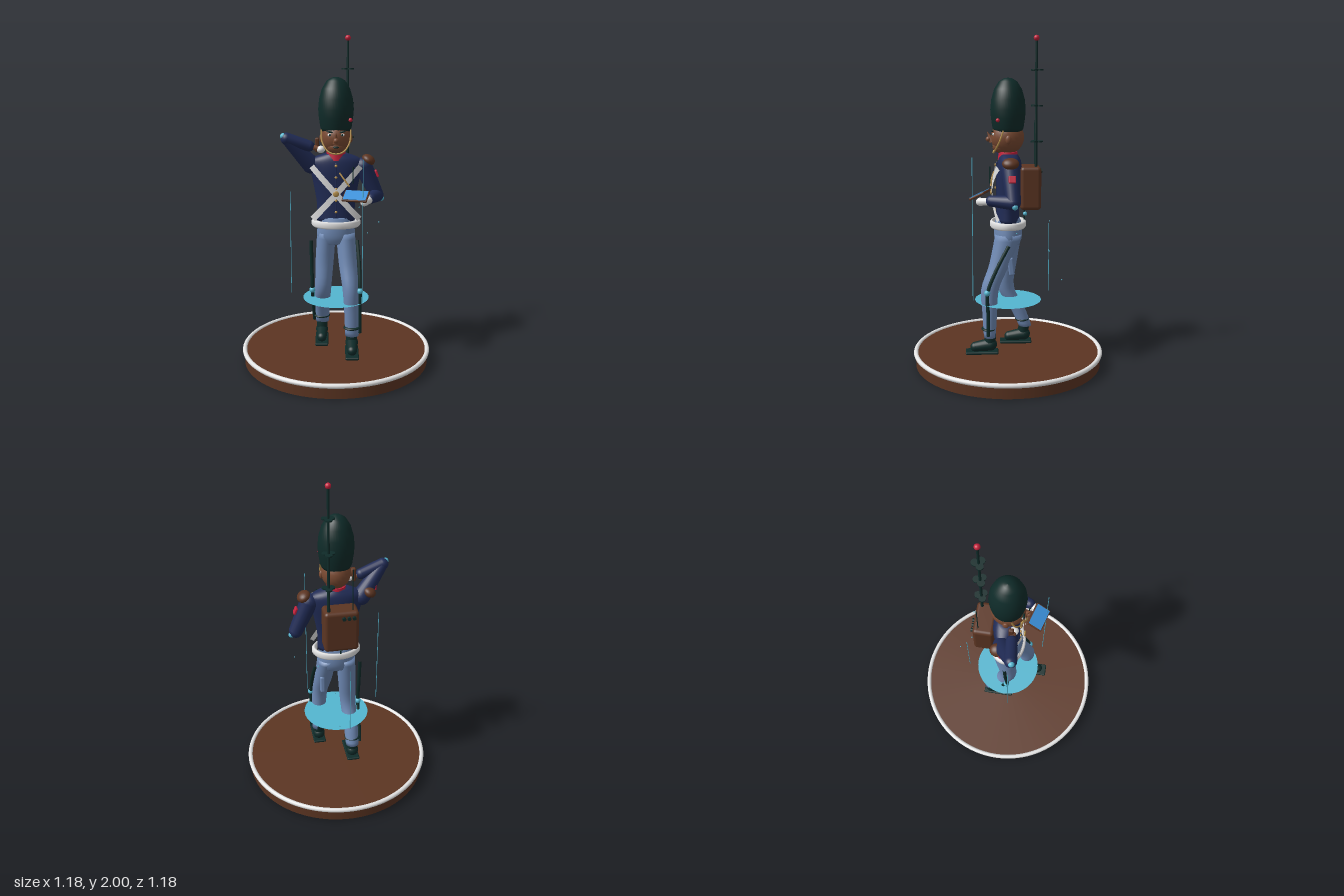
import * as THREE from 'three';
import { mergeGeometries } from 'three/addons/utils/BufferGeometryUtils.js';
import { RoundedBoxGeometry } from 'three/addons/geometries/RoundedBoxGeometry.js';
import { ParametricGeometry } from 'three/addons/geometries/ParametricGeometry.js';

const mat = (name, color, side = THREE.FrontSide) => {
  const m = new THREE.MeshStandardMaterial({ color, side });
  m.name = name;
  return m;
};
const V = (x, y, z) => new THREE.Vector3(x, y, z);

export function createModel() {
  const navy = mat('navy cloth', 0x202b55);
  const green = mat('dark green', 0x0f2b29);
  const brown = mat('brown leather', 0x5c3522);
  const skin = mat('skin', 0x7a4a32);
  const blue = mat('trouser blue', 0x6f8ab5);
  const white = mat('white', 0xe4e4e4, THREE.DoubleSide);
  const red = mat('red', 0xc4213c);
  const cyan = mat('cyan', 0x54b6d0, THREE.DoubleSide);
  const screen = mat('screen blue', 0x3c92dc);
  const gold = mat('gold', 0xb8924e);

  const model = new THREE.Group();
  const add = (name, geo, material, x = 0, y = 0, z = 0, parent = model) => {
    const m = new THREE.Mesh(geo, material);
    m.name = name;
    m.position.set(x, y, z);
    parent.add(m);
    return m;
  };
  const ball = (name, material, x, y, z, rx, ry = rx, rz = rx) =>
    add(name, new THREE.SphereGeometry(1, 24, 16).scale(rx, ry, rz), material, x, y, z);
  const cyl = (name, material, x, y0, y1, z, r, r2 = r, n = 16) =>
    add(name, new THREE.CylinderGeometry(r2, r, y1 - y0, n), material, x, (y0 + y1) / 2, z);
  // Tapered limb with round ends between two points
  const limb = (name, material, a, b, ra, rb) => {
    const d = b.clone().sub(a);
    const rod = new THREE.CylinderGeometry(rb, ra, d.length(), 20, 1, true)
      .applyQuaternion(new THREE.Quaternion().setFromUnitVectors(V(0, 1, 0), d.clone().normalize()))
      .translate((a.x + b.x) / 2, (a.y + b.y) / 2, (a.z + b.z) / 2);
    const ends = [[a, ra], [b, rb]].map(([p, r]) => new THREE.SphereGeometry(r, 20, 14).translate(p.x, p.y, p.z));
    return add(name, mergeGeometries([rod, ...ends]), material);
  };
  const tube = (name, material, pts, r, closed = false) =>
    add(name, new THREE.TubeGeometry(new THREE.CatmullRomCurve3(pts.map(p => V(...p)), closed), 32, r, 8, closed), material);
  // Loft through elliptical rings [x, y, z, rx, rz], listed from the bottom up
  const loft = (name, material, rings, n = 28) => {
    const curves = [0, 1, 2, 3, 4].map(k => rings.map(r => r[k]));
    const steps = (rings.length - 1) * 4, pos = [], idx = [];
    const smooth = (a, t) => {
      const i = Math.min(Math.floor(t), a.length - 2), f = t - i;
      const p = a[Math.max(i - 1, 0)], q = a[i], r = a[i + 1], s = a[Math.min(i + 2, a.length - 1)];
      return q + 0.5 * f * (r - p + f * (2 * p - 5 * q + 4 * r - s + f * (3 * (q - r) + s - p)));
    };
    const row = (c, k) => {
      for (let j = 0; j < n; j++) {
        const t = j / n * Math.PI * 2;
        pos.push(c[0] + k * c[3] * Math.cos(t), c[1], c[2] + k * c[4] * Math.sin(t));
      }
    };
    const at = i => curves.map(c => smooth(c, i / 4));
    row(at(0), 0.01);
    for (let i = 0; i <= steps; i++) row(at(i), 1);
    row(at(steps), 0.01);
    for (let i = 0; i < steps + 2; i++) for (let j = 0; j < n; j++) {
      const a = i * n + j, b = i * n + (j + 1) % n;
      idx.push(a, a + n, b, b, a + n, b + n);
    }
    const g = new THREE.BufferGeometry();
    g.setAttribute('position', new THREE.Float32BufferAttribute(pos, 3));
    g.setIndex(idx);
    g.computeVertexNormals();
    return add(name, g, material);
  };

  // Round base, rim and floating disc
  cyl('base', brown, 0, 0, 0.08, 0, 0.575, 0.575, 72);
  add('baseRim', new THREE.TorusGeometry(0.574, 0.014, 12, 80).rotateX(Math.PI / 2), white, 0, 0.077, 0);
  add('floatingDisc', new THREE.CircleGeometry(0.205, 48).rotateX(-Math.PI / 2), cyan, 0, 0.4, 0);
  [[-0.275, 0.04, 1.08], [0.155, 0.215, 1.3], [-0.04, -0.255, 0.87]].forEach(([x, z, top]) =>
    cyl('lightBeam', cyan, x, 0.44, top, z, 0.002, 0.002, 6));
  [[0.04, 0.53, -0.33], [0.205, 0.75, -0.235], [0.265, 0.87, -0.04], [0.15, 0.92, -0.24], [0.05, 0.72, -0.245]]
    .forEach(p => ball('spark', cyan, ...p, 0.004));

  // Legs, boots and stripes: the left one steps forward
  loft('leftLeg', blue, [[0.098, 0.19, 0.115, 0.042, 0.036], [0.096, 0.34, 0.115, 0.046, 0.045],
    [0.088, 0.49, 0.112, 0.049, 0.054], [0.072, 0.64, 0.055, 0.056, 0.062], [0.058, 0.82, 0, 0.058, 0.08]]);
  loft('rightLeg', blue, [[-0.087, 0.2, -0.112, 0.042, 0.04], [-0.085, 0.32, -0.062, 0.046, 0.046],
    [-0.08, 0.46, 0.012, 0.05, 0.052], [-0.07, 0.64, 0.0, 0.056, 0.06], [-0.058, 0.82, -0.01, 0.058, 0.08]]);
  loft('hips', blue, [[0, 0.755, 0, 0.1, 0.07], [0, 0.8, 0, 0.118, 0.085], [0, 0.87, 0, 0.11, 0.085], [0, 0.92, 0, 0.105, 0.07]]);
  tube('leftStripe', green, [[0.13, 0.765, 0], [0.142, 0.62, 0.075], [0.145, 0.48, 0.127], [0.145, 0.34, 0.125], [0.145, 0.21, 0.125]], 0.011);
  tube('rightStripe', green, [[-0.153, 0.765, 0], [-0.15, 0.6, 0.005], [-0.147, 0.45, 0.012], [-0.142, 0.32, -0.06], [-0.137, 0.21, -0.11]], 0.011);
  ball('leftKneeJoint', cyan, 0.145, 0.48, 0.13, 0.019);
  ball('rightKneeJoint', cyan, -0.147, 0.45, 0.012, 0.019);
  const pouch = add('thighPouch', new RoundedBoxGeometry(0.03, 0.11, 0.035, 3, 0.01), blue, 0.09, 0.63, -0.015);
  pouch.rotation.x = 0.12;
  for (const [s, x, z] of [['left', 0.097, 0], ['right', -0.09, -0.215]]) {
    limb(s + 'Ankle', green, V(x, 0.21, z + 0.11), V(x, 0.15, z + 0.115), 0.034, 0.034);
    limb(s + 'Boot', green, V(x, 0.142, z + 0.11), V(x, 0.127, z + 0.205), 0.039, 0.03);
    add(s + 'Sole', new RoundedBoxGeometry(0.082, 0.016, 0.2, 2, 0.007), green, x, 0.096, z + 0.163);
    ball(s + 'BootCuff', green, x, 0.243, z + 0.122, 0.052, 0.013, 0.045);
  }

  // Jacket, collar and belts
  loft('jacket', navy, [[0, 0.895, 0, 0.115, 0.07], [0, 1.0, 0, 0.116, 0.066], [0, 1.12, -0.005, 0.136, 0.073],
    [0, 1.21, -0.008, 0.155, 0.076], [0, 1.27, -0.008, 0.15, 0.068], [0, 1.305, -0.005, 0.07, 0.05]], 36);
  add('jacketPlacket', new RoundedBoxGeometry(0.014, 0.33, 0.01, 2, 0.004), navy, 0, 1.09, 0.068);
  for (let i = 0; i < 5; i++) ball('button', gold, 0, 0.96 + i * 0.07, 0.077, 0.008, 0.008, 0.006);
  cyl('neck', skin, 0, 1.25, 1.36, 0, 0.045);
  cyl('collar', red, 0, 1.268, 1.318, 0, 0.062, 0.056, 28);
  for (const s of [1, -1]) {
    const g = new ParametricGeometry((u, v, p) => {
      const w = (v - 0.5) * 0.036;
      const x = s * (0.145 - 0.285 * u + w * 0.74);
      const y = 1.235 - 0.32 * u - w * 0.66;
      p.set(x, y, (s > 0 ? 0.1 : 0.094) * Math.sqrt(Math.max(0, 1 - (x / 0.19) ** 2)));
    }, 24, 2);
    add('crossBelt', g, white);
  }
  ball('crossBeltBadge', gold, 0, 1.075, 0.103, 0.018, 0.018, 0.006);
  tube('lanyard', gold, [[0.02, 1.2, 0.085], [0.05, 1.16, 0.1], [0.08, 1.12, 0.105]], 0.005);
  const waist = new THREE.LatheGeometry([[0.127, 0.86], [0.14, 0.858], [0.149, 0.868], [0.149, 0.892], [0.14, 0.902], [0.127, 0.9], [0.127, 0.86]]
    .map(p => new THREE.Vector2(...p)), 48).scale(1, 1, 0.74);
  add('waistBelt', waist, white);

  // Head and face
  ball('head', skin, 0, 1.405, 0.003, 0.088, 0.1, 0.1);
  ball('jaw', skin, 0, 1.352, 0.035, 0.056, 0.044, 0.06);
  const nose = add('nose', new THREE.ConeGeometry(0.02, 0.07, 16), skin, 0, 1.41, 0.11);
  nose.rotation.x = 0.5;
  ball('noseTip', skin, 0, 1.394, 0.118, 0.016);
  ball('mouth', green, 0, 1.352, 0.093, 0.017, 0.006, 0.006);
  for (const s of [1, -1]) {
    ball('eye', white, s * 0.036, 1.425, 0.088, 0.014, 0.009, 0.008);
    ball('pupil', green, s * 0.036, 1.425, 0.095, 0.006, 0.007, 0.004);
    const brow = ball('eyebrow', green, s * 0.037, 1.443, 0.093, 0.019, 0.005, 0.006);
    brow.rotation.z = s * 0.15;
    ball('ear', skin, s * 0.088, 1.395, 0, 0.012, 0.026, 0.018);
  }
  tube('chinStrap', gold, [[-0.087, 1.45, 0.03], [-0.082, 1.38, 0.055], [-0.045, 1.325, 0.082], [0, 1.312, 0.088],
    [0.045, 1.325, 0.082], [0.082, 1.38, 0.055], [0.087, 1.45, 0.03]], 0.005);

  // Tall fur hat
  const hat = [[0, 1.445], [0.084, 1.44], [0.093, 1.46], [0.102, 1.52], [0.106, 1.57], [0.1, 1.63], [0.083, 1.69], [0.055, 1.735], [0.025, 1.753], [0.001, 1.757]];
  add('furHat', new THREE.LatheGeometry(hat.map(p => new THREE.Vector2(...p)), 40), green);
  ball('hatTassel', red, 0.084, 1.51, 0.063, 0.012);

  // Right arm raised to the ear with a handset
  limb('rightUpperArm', navy, V(-0.15, 1.235, -0.01), V(-0.292, 1.4, 0.06), 0.055, 0.034);
  limb('rightForearm', navy, V(-0.292, 1.4, 0.06), V(-0.16, 1.355, 0.045), 0.036, 0.033);
  ball('rightElbowJoint', cyan, -0.311, 1.415, 0.066, 0.019);
  ball('rightGlove', white, -0.09, 1.335, 0.05, 0.025, 0.022, 0.026);
  limb('rightWrist', skin, V(-0.155, 1.352, 0.045), V(-0.1, 1.338, 0.048), 0.017, 0.015);
  add('handset', new RoundedBoxGeometry(0.024, 0.085, 0.03, 3, 0.008), brown, -0.112, 1.36, 0.035);
  const re = ball('rightEpaulette', brown, -0.195, 1.268, -0.03, 0.04, 0.03, 0.045);
  re.rotation.z = 0.5;
  add('rightArmPatch', new RoundedBoxGeometry(0.02, 0.035, 0.035, 2, 0.004), red, -0.232, 1.285, 0.0);

  // Left arm bent forward holding a tablet
  limb('leftUpperArm', navy, V(0.165, 1.225, -0.01), V(0.248, 1.045, -0.022), 0.055, 0.043);
  limb('leftForearm', navy, V(0.248, 1.045, -0.022), V(0.205, 1.05, 0.105), 0.043, 0.032);
  ball('leftElbowJoint', cyan, 0.277, 1.025, -0.03, 0.018);
  limb('leftGlove', white, V(0.198, 1.045, 0.12), V(0.165, 1.04, 0.17), 0.022, 0.024);
  const le = ball('leftEpaulette', brown, 0.195, 1.265, -0.008, 0.042, 0.03, 0.05);
  le.rotation.z = -0.5;
  const patch = add('leftArmPatch', new RoundedBoxGeometry(0.014, 0.042, 0.042, 2, 0.004), red, 0.247, 1.18, -0.016);
  patch.rotation.z = 0.4;
  const tablet = new THREE.Group();
  tablet.name = 'tablet';
  tablet.position.set(0.115, 1.075, 0.17);
  tablet.rotation.set(0.45, -0.28, 0, 'YXZ');
  model.add(tablet);
  add('tabletCase', new RoundedBoxGeometry(0.15, 0.014, 0.1, 2, 0.005), brown, 0, 0, 0, tablet);
  add('tabletScreen', new THREE.BoxGeometry(0.136, 0.004, 0.088), screen, 0, 0.008, 0, tablet);
  cyl('stylus', green, 0.1, 1.14, 1.24, 0.112, 0.004);

  // Backpack with knobs and aerials
  add('backpack', new RoundedBoxGeometry(0.205, 0.26, 0.125, 4, 0.022), brown, 0, 1.105, -0.133);
  for (let i = 0; i < 3; i++) {
    const k = cyl('backpackKnob', green, -0.07 + i * 0.03, 1.19, 1.206, -0.2, 0.011);
    k.rotation.x = Math.PI / 2;
  }
  cyl('shortAerial', green, -0.067, 1.2, 1.49, -0.165, 0.003, 0.003, 8);
  cyl('tallAerial', green, 0.073, 1.2, 1.98, -0.163, 0.009, 0.007);
  ball('aerialTip', red, 0.073, 1.983, -0.163, 0.017);
  for (const y of [1.385, 1.595, 1.8]) for (let i = 0; i < 3; i++) {
    const t = i * Math.PI * 2 / 3 + 0.6;
    cyl('aerialLeaf', green, 0.073 + 0.02 * Math.cos(t), y - 0.004, y + 0.004, -0.163 + 0.02 * Math.sin(t), 0.021);
  }
  cyl('cable', green, -0.01, 0.87, 1.0, -0.1, 0.005);
  ball('cableLight', cyan, -0.01, 0.937, -0.105, 0.013);
  return model;
}
